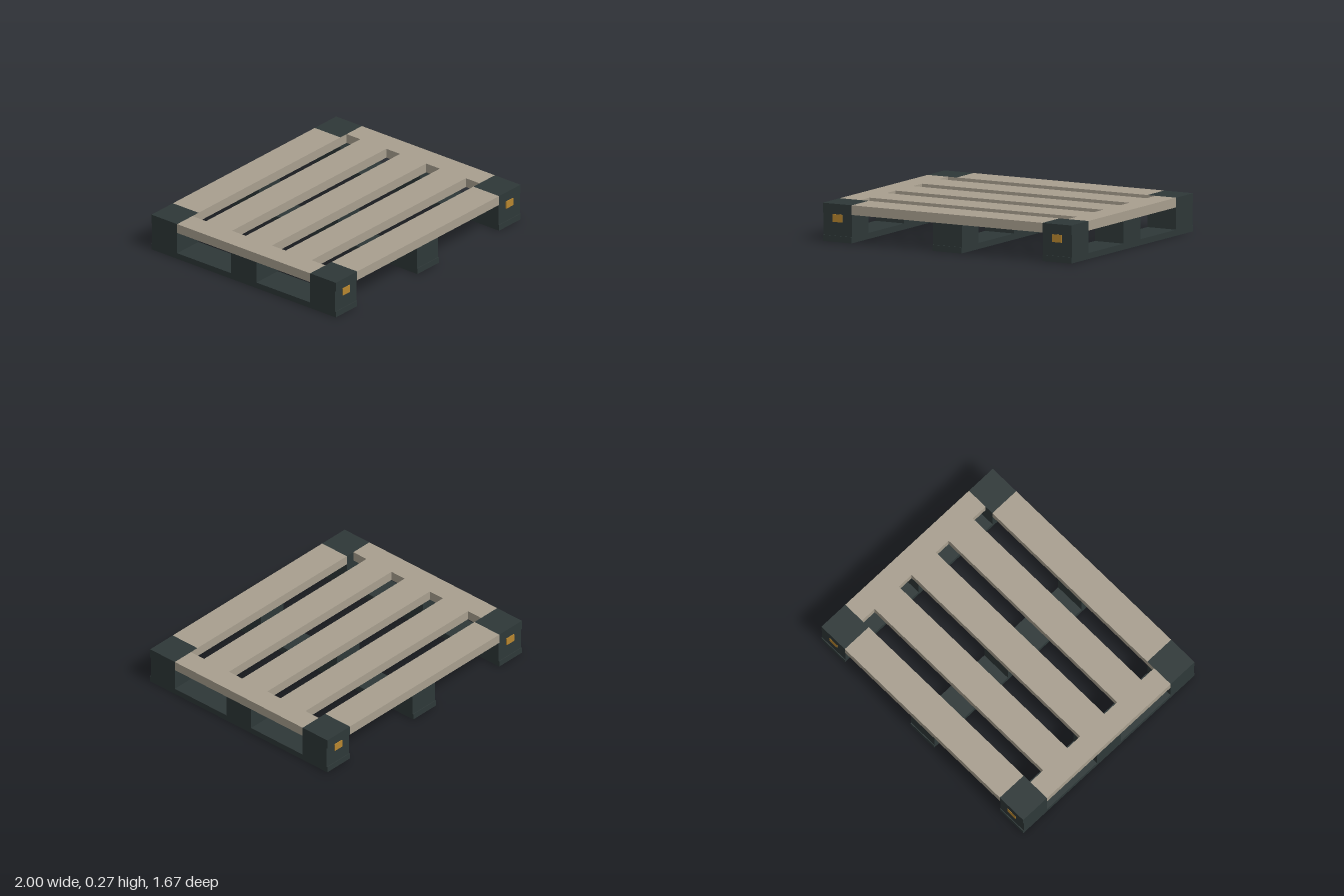
import * as THREE from 'three';

const X = 1, Z = 0.833, TOP = 0.268, DECK = 0.2, BASE = 0.043, W = 0.232;

export function createModel() {
  const group = new THREE.Group();
  const mat = (name, color) => {
    const m = new THREE.MeshStandardMaterial({ color });
    m.name = name;
    return m;
  };
  const timber = mat('taupe deck', 0xa89f8f);
  const dark = mat('dark slate', 0x2e3838);
  const amber = mat('amber marker', 0xb8862f);

  const add = (name, geometry, material) => {
    const mesh = new THREE.Mesh(geometry, material);
    mesh.name = name;
    group.add(mesh);
    return mesh;
  };
  // Box given by its limits on each axis
  const box = (name, material, x0, x1, y0, y1, z0, z1) =>
    add(name, new THREE.BoxGeometry(x1 - x0, y1 - y0, z1 - z0), material)
      .position.set((x0 + x1) / 2, (y0 + y1) / 2, (z0 + z1) / 2);

  // Slotted deck with its corners notched out for the corner caps
  const xi = X - W, zi = Z - W;
  const outline = [
    [-xi, -Z], [xi, -Z], [xi, -zi], [X, -zi], [X, zi], [xi, zi],
    [xi, Z], [-xi, Z], [-xi, zi], [-X, zi], [-X, -zi], [-xi, -zi],
  ];
  const toPoints = (list) => list.map(([x, y]) => new THREE.Vector2(x, y));
  const shape = new THREE.Shape(toPoints(outline));
  const slotX = 0.835;
  for (const z of [-0.539, -0.18, 0.18, 0.539]) {
    const a = z - 0.062, b = z + 0.062;
    shape.holes.push(new THREE.Path(toPoints([[-slotX, a], [-slotX, b], [slotX, b], [slotX, a]])));
  }
  const deck = new THREE.ExtrudeGeometry(shape, { depth: TOP - DECK, bevelEnabled: false });
  deck.rotateX(-Math.PI / 2);
  add('slottedDeck', deck, timber).position.y = DECK;

  // Three runners, each carrying three blocks
  const inset = 0.006;
  for (const x of [-(X - W / 2), 0, X - W / 2]) {
    const x0 = x - W / 2, x1 = x + W / 2;
    box('runner', dark, x0, x1, 0, BASE, -Z, Z);
    box('middleBlock', dark, x0, x1, BASE, DECK, -W / 2, W / 2);
    for (const s of [-1, 1]) {
      const z0 = zi, z1 = Z - inset;
      box('endBlock', dark, x0, x1, BASE, DECK, s > 0 ? z0 : -z1, s > 0 ? z1 : -z0);
      if (x === 0) continue;
      // Corner cap and amber marker on the outer end
      box('cornerCap', dark, x0, x1, DECK, TOP, s > 0 ? zi : -Z, s > 0 ? Z : -zi);
      const zm = s * (Z - inset / 2);
      box('endMarker', amber, x - 0.038, x + 0.038, 0.14, 0.194, zm - 0.003, zm + 0.003);
    }
  }
  return group;
}
